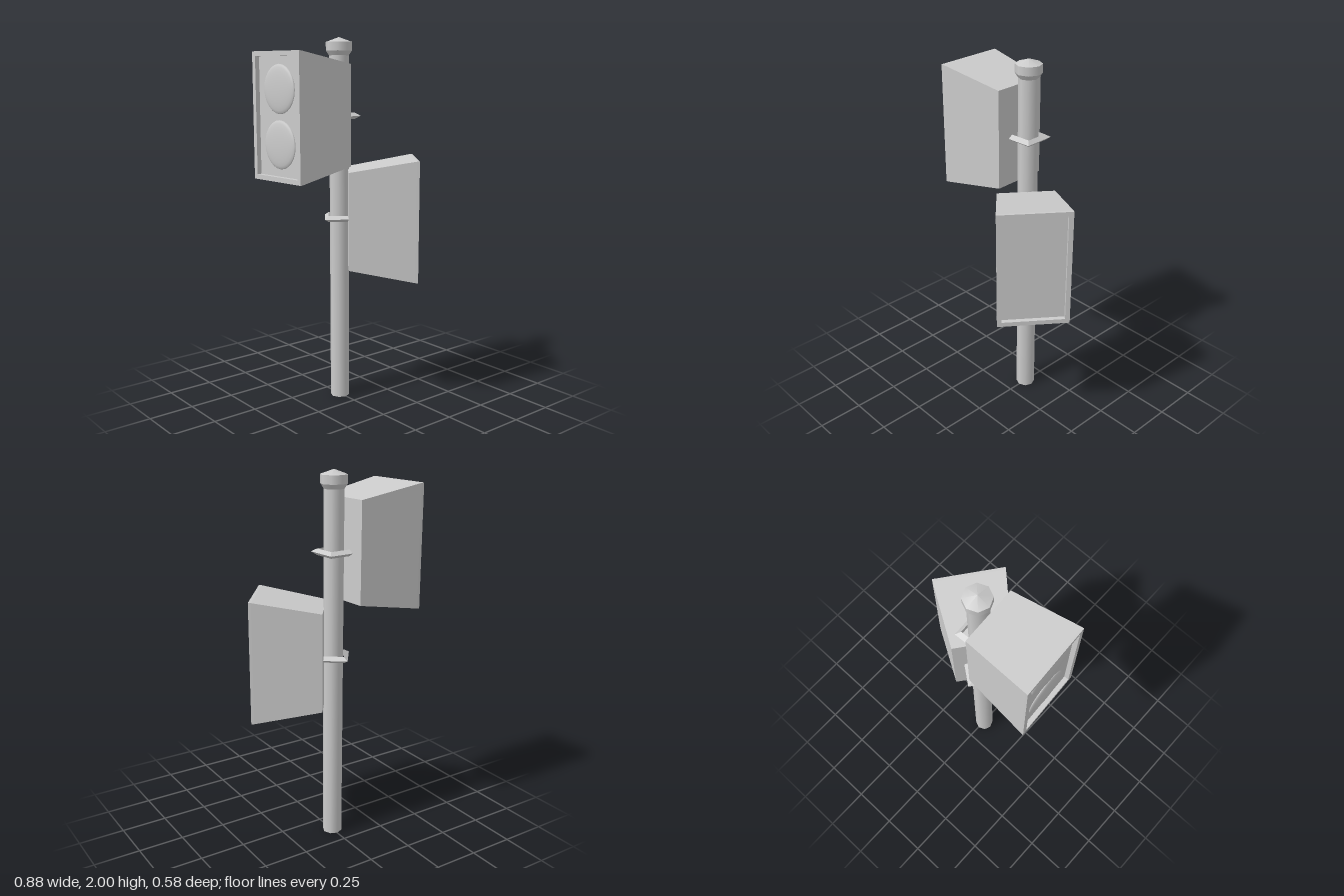
import * as THREE from 'three';

const material = new THREE.MeshStandardMaterial({ color: 0xcccccc, side: THREE.DoubleSide });
const POLE = { x: -0.002, z: -0.125 };

function addMesh(parent, name, geometry) {
  const mesh = new THREE.Mesh(geometry, material);
  mesh.name = name;
  parent.add(mesh);
  return mesh;
}

// Joins closed cross-section rings with flat faces and caps both ends
function loft(rings) {
  const pos = [];
  const tri = (...pts) => pts.forEach((p) => pos.push(...p));
  const n = rings[0].length;
  for (let r = 0; r < rings.length - 1; r++) {
    const a = rings[r], b = rings[r + 1];
    for (let i = 0; i < n; i++) {
      const j = (i + 1) % n;
      tri(a[i], a[j], b[j]);
      tri(a[i], b[j], b[i]);
    }
  }
  const first = rings[0], last = rings[rings.length - 1];
  for (let i = 1; i < n - 1; i++) {
    tri(first[0], first[i + 1], first[i]);
    tri(last[0], last[i], last[i + 1]);
  }
  const g = new THREE.BufferGeometry();
  g.setAttribute('position', new THREE.Float32BufferAttribute(pos, 3));
  g.computeVertexNormals();
  return g;
}

// Tapered cabinet: back, lip, front rim, then the recessed front panel
function cabinetGeometry() {
  const rect = (w, h, z) => [[w, -h, z], [w, h, z], [-w, h, z], [-w, -h, z]];
  return loft([
    rect(0.155, 0.265, 0),
    rect(0.191, 0.327, 0.355),
    rect(0.192, 0.328, 0.37),
    rect(0.167, 0.303, 0.37),
    rect(0.167, 0.303, 0.345),
  ]);
}

// U-shaped strap with a ridge along its outside
function bracketGeometry() {
  const path = [[1, 0.07, 0.07], [1, -0.06, -0.08], [-1, -0.06, -0.08], [-1, 0.07, 0.07]];
  return loft(path.map(([s, zIn, zOut]) => [
    [s * 0.06, 0.017, zIn], [s * 0.06, -0.017, zIn], [s * 0.085, 0, zOut],
  ]));
}

function addSpeaker(root, name, x, y, z, fx, fz, bracketY) {
  const angle = Math.atan2(fx, fz);
  const speaker = new THREE.Group();
  speaker.name = name;
  speaker.position.set(x, y, z);
  speaker.rotation.y = angle;
  root.add(speaker);
  addMesh(speaker, 'cabinet', cabinetGeometry());

  const bracket = addMesh(root, name + 'Bracket', bracketGeometry());
  bracket.position.set(POLE.x, bracketY, POLE.z);
  bracket.rotation.y = angle;
  return speaker;
}

export function createModel() {
  const root = new THREE.Group();
  root.name = 'poleSpeakers';

  // Pole and flared cap
  const pole = new THREE.Group();
  pole.name = 'pole';
  pole.position.set(POLE.x, 0, POLE.z);
  root.add(pole);
  const section = (name, rTop, rBottom, y0, y1, open) => {
    const g = new THREE.CylinderGeometry(rTop, rBottom, y1 - y0, 8, 1, open);
    addMesh(pole, name, g).position.y = (y0 + y1) / 2;
  };
  section('shaft', 0.053, 0.053, 0, 1.91, false);
  section('capFlare', 0.07, 0.053, 1.905, 1.93, true);
  section('capBand', 0.07, 0.07, 1.93, 1.975, true);
  section('capTop', 0, 0.07, 1.975, 2, true);

  // Two speakers facing different ways
  const upper = addSpeaker(root, 'upperSpeaker', -0.058, 1.595, -0.12, -0.37, 0.02, 1.587);
  addSpeaker(root, 'lowerSpeaker', 0.0265, 1.033, -0.086, 0.2945, 0.2235, 1.033);

  // Shallow domed drivers on the upper panel
  for (const side of [1, -1]) {
    const dome = new THREE.SphereGeometry(0.125, 24, 6, 0, Math.PI * 2, 0, Math.PI / 2);
    dome.rotateX(Math.PI / 2).scale(1, 1, 0.14);
    addMesh(upper, 'driver', dome).position.set(0, side * 0.14, 0.345);
  }
  return root;
}
